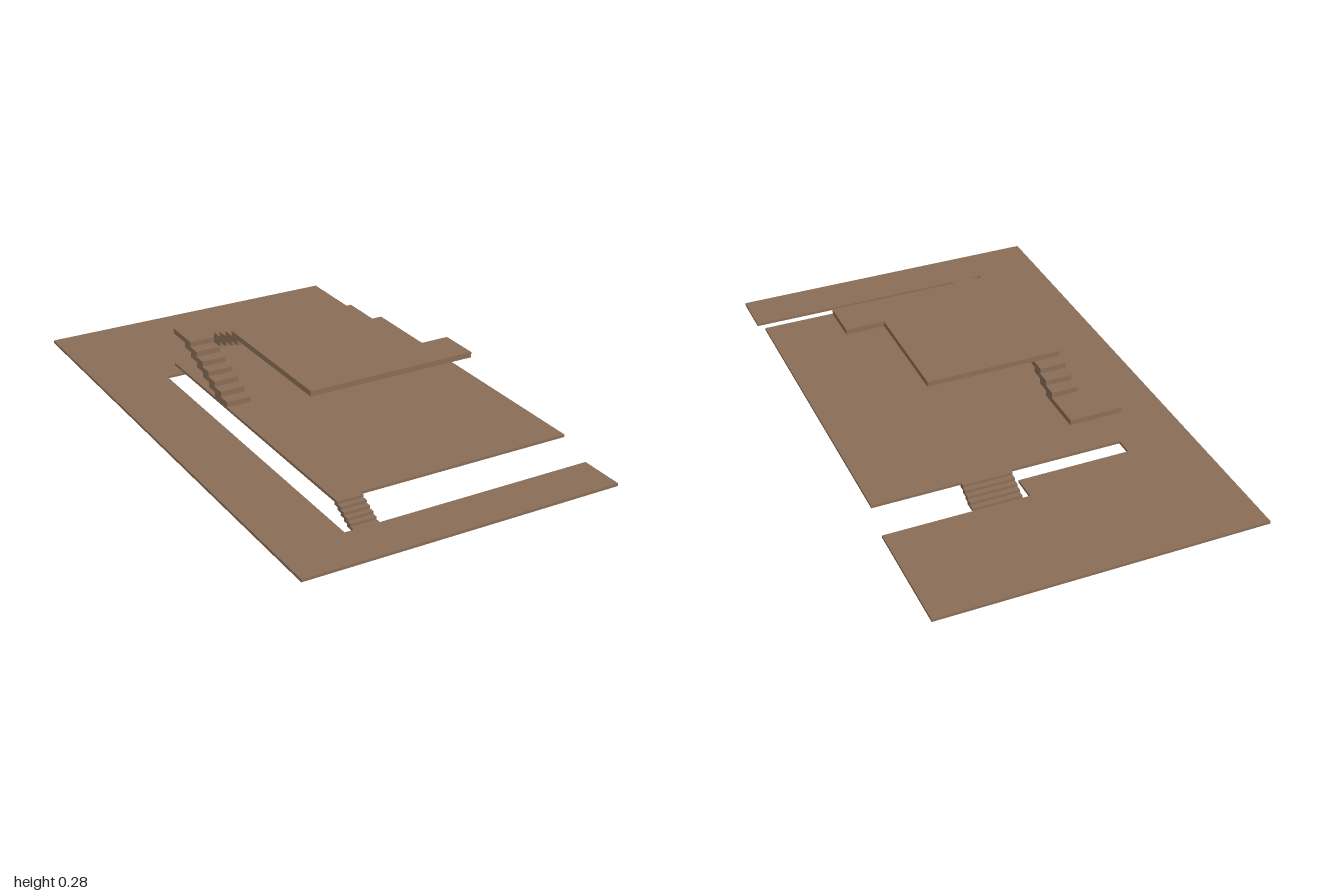
import * as THREE from 'three';

const material = new THREE.MeshStandardMaterial({ color: 0x8b6f58 });

// Flat slab from an outline of [x, z] corners, between two heights
function slab(name, outline, y0, y1) {
  const shape = new THREE.Shape(outline.map(([x, z]) => new THREE.Vector2(x, -z)));
  const geometry = new THREE.ExtrudeGeometry(shape, { depth: y1 - y0, bevelEnabled: false });
  geometry.rotateX(-Math.PI / 2).translate(0, y0, 0);
  const mesh = new THREE.Mesh(geometry, material);
  mesh.name = name;
  return mesh;
}

// Overlapping treads climbing along z; dir is the direction of climb,
// each tread is twice as deep as the spacing
function stairs(name, { x0, x1, z, y, count, run, rise, dir }) {
  const flight = new THREE.Group();
  flight.name = name;
  const geometry = new THREE.BoxGeometry(x1 - x0, rise, run * 2);
  for (let i = 0; i < count; i++) {
    const tread = new THREE.Mesh(geometry, material);
    tread.name = 'tread';
    tread.position.set((x0 + x1) / 2, y + rise * (i + 0.5), z + dir * run * (i + 1));
    flight.add(tread);
  }
  return flight;
}

export function createModel() {
  const model = new THREE.Group();
  model.name = 'terracedPlatforms';

  // Ground level, wrapping three sides of the terrace
  model.add(slab('groundWalkway', [
    [-0.593, -1], [0.593, -1], [0.593, -0.57], [0.07, -0.57], [0.07, -0.478], [-0.345, -0.478],
    [-0.345, 0.83], [0.593, 0.83], [0.593, 1], [-0.593, 1],
  ], 0, 0.01));

  // Raised terrace
  model.add(slab('terrace', [
    [-0.312, -0.473], [0.593, -0.473], [0.593, 0.71], [-0.312, 0.71],
  ], 0.05, 0.06));

  // Upper deck with a side tongue
  model.add(slab('upperDeck', [
    [-0.217, -0.182], [0.277, -0.182], [0.277, 0.24], [0.42, 0.24], [0.42, 0.39], [-0.217, 0.39],
  ], 0.26, 0.28));

  // Landing between the two upper flights
  model.add(slab('landing', [
    [-0.312, -0.473], [-0.12, -0.473], [-0.12, -0.328], [-0.312, -0.328],
  ], 0.18, 0.2));

  // Short flights from the ground to the terrace
  model.add(stairs('frontStairs',
    { x0: -0.312, x1: -0.217, z: 0.83, y: 0, count: 6, run: 0.02, rise: 0.01, dir: -1 }));
  model.add(stairs('backStairs',
    { x0: 0.098, x1: 0.278, z: -0.57, y: 0.01, count: 5, run: 0.02, rise: 0.01, dir: 1 }));

  // Long flights from the terrace to the landing and on to the deck
  model.add(stairs('lowerFlight',
    { x0: -0.312, x1: -0.217, z: -0.04, y: 0.06, count: 6, run: 0.048, rise: 0.02, dir: -1 }));
  model.add(stairs('upperFlight',
    { x0: -0.217, x1: -0.12, z: -0.376, y: 0.18, count: 4, run: 0.048, rise: 0.02, dir: 1 }));

  return model;
}
